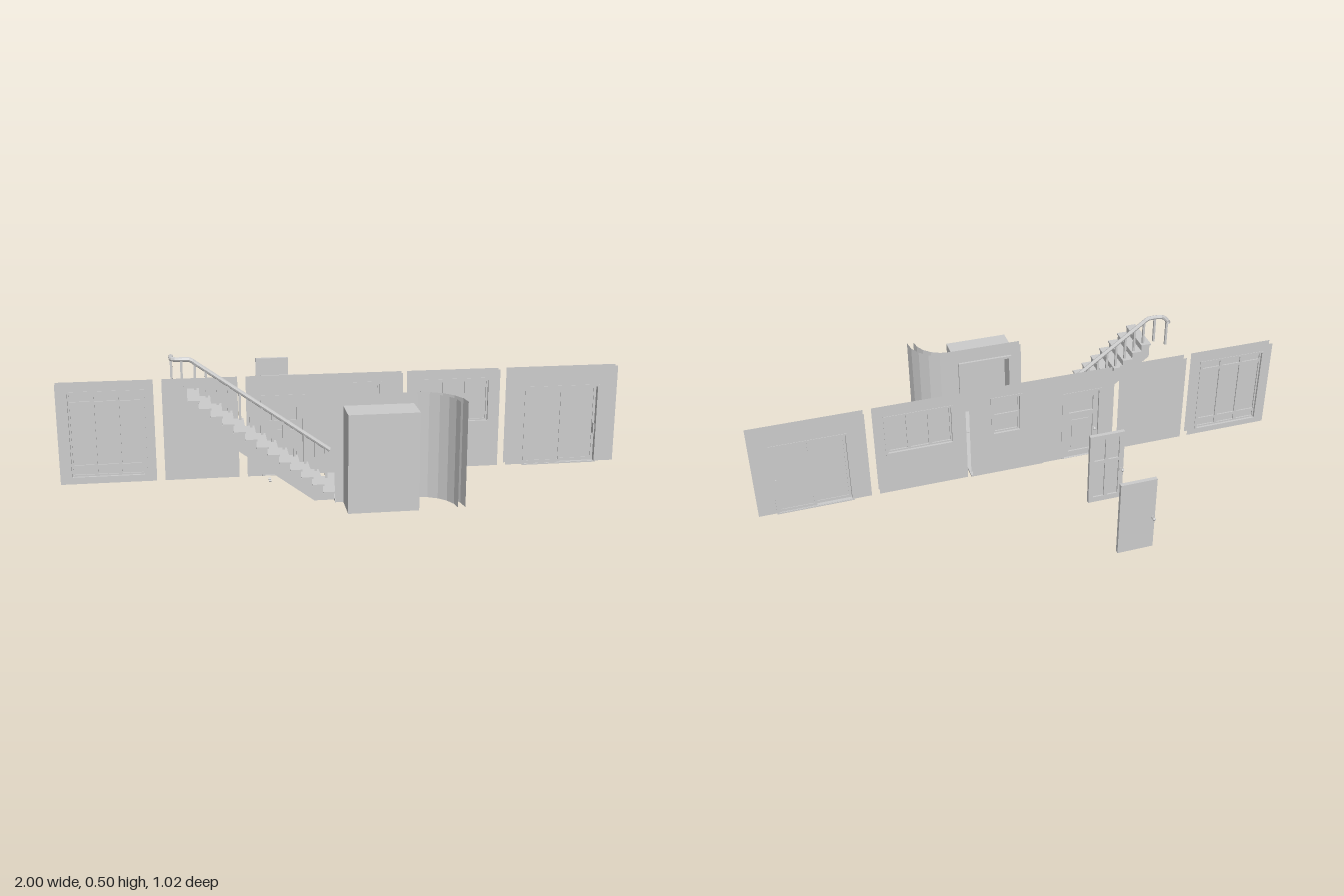
import * as THREE from 'three';

const mat = new THREE.MeshStandardMaterial({ color: 0xcccccc, flatShading: true, side: THREE.DoubleSide });
const Z_IN = 0.105, Z_OUT = 0.079, Z_MID = 0.092, Y0 = 0.025, Y1 = 0.385;

function add(parent, name, geo, x = 0, y = 0, z = 0) {
  const m = new THREE.Mesh(geo, mat);
  m.name = name;
  m.position.set(x, y, z);
  parent.add(m);
  return m;
}

// box given by its lower and upper limits on each axis
function block(parent, name, x0, x1, y0, y1, z0, z1) {
  return add(parent, name, new THREE.BoxGeometry(x1 - x0, y1 - y0, z1 - z0),
    (x0 + x1) / 2, (y0 + y1) / 2, (z0 + z1) / 2);
}

function rect(Type, x0, x1, y0, y1) {
  const s = new Type();
  s.moveTo(x0, y0).lineTo(x1, y0).lineTo(x1, y1).lineTo(x0, y1).closePath();
  return s;
}

// two thin skins with matching openings
function wall(parent, name, x0, x1, openings, zA = Z_IN, zB = Z_OUT) {
  const s = rect(THREE.Shape, x0, x1, Y0, Y1);
  for (const o of openings) s.holes.push(rect(THREE.Path, ...o));
  add(parent, name + 'InnerSkin', new THREE.ShapeGeometry(s), 0, 0, zA);
  const back = new THREE.ShapeGeometry(s).rotateY(Math.PI).scale(-1, 1, 1);
  back.index.array.reverse();
  add(parent, name + 'OuterSkin', back, 0, 0, zB);
}

// rectangular slab pierced by panes, each pane closed by a thin sheet
function framed(parent, name, [x0, x1, y0, y1], depth, z, panes, glass = true) {
  const g = new THREE.Group();
  g.name = name;
  const s = rect(THREE.Shape, x0, x1, y0, y1);
  for (const p of panes) s.holes.push(rect(THREE.Path, ...p));
  add(g, 'frame', new THREE.ExtrudeGeometry(s, { depth, bevelEnabled: false }), 0, 0, z - depth / 2);
  if (glass) for (const [a, b, c, d] of panes) block(g, 'pane', a, b, c, d, z - 0.001, z + 0.001);
  parent.add(g);
  return g;
}

// panes between lists of column and row edges, with a bar of width t
function grid(cols, rows, t) {
  const out = [];
  for (let i = 0; i + 1 < cols.length; i++)
    for (let j = 0; j + 1 < rows.length; j++)
      out.push([cols[i] + t / 2, cols[i + 1] - t / 2, rows[j] + t / 2, rows[j + 1] - t / 2]);
  return out;
}

// knobs and spindle through a door
function handle(parent, x, y, z, reach) {
  add(parent, 'handleSpindle', new THREE.CylinderGeometry(0.003, 0.003, reach * 2, 8).rotateX(Math.PI / 2), x, y, z);
  for (const s of [-1, 1]) {
    add(parent, 'handleKnob', new THREE.SphereGeometry(0.006, 10, 6), x, y, z + s * reach * 0.85);
    add(parent, 'handleRose', new THREE.CylinderGeometry(0.007, 0.007, 0.003, 10).rotateX(Math.PI / 2), x, y, z + s * 0.009);
  }
}

function buildWalls(root) {
  const g = new THREE.Group();
  g.name = 'outerWalls';
  root.add(g);
  const D = 0.03;

  // glazed triple doors
  const a = [-0.97, -0.7, 0.04, 0.357];
  wall(g, 'gardenWall', -1, -0.67, [a]);
  framed(g, 'gardenDoorCasing', a, D, Z_MID, [[-0.96, -0.71, 0.05, 0.35]], false);
  framed(g, 'gardenDoors', [-0.96, -0.71, 0.05, 0.35], 0.012, Z_MID,
    grid([-0.96, -0.877, -0.793, -0.71], [0.05, 0.085, 0.313, 0.35], 0.012));

  wall(g, 'plainWall', -0.64, -0.38, []);

  // entrance door and sash window
  const door = [-0.3, -0.145, Y0, 0.32], sash = [0.01, 0.13, 0.19, 0.357];
  wall(g, 'entranceWall', -0.35, 0.205, [[-0.3, -0.145, Y0 + 0.001, 0.32], sash]);
  framed(g, 'entranceCasing', door, D, Z_MID, [[-0.29, -0.155, Y0 + 0.001, 0.31]], false);
  framed(g, 'entranceDoor', [-0.29, -0.155, Y0, 0.31], 0.014, Z_MID,
    [[-0.27, -0.175, 0.225, 0.29], [-0.27, -0.175, 0.05, 0.205]]);
  block(g, 'entranceDoorPanel', -0.258, -0.187, 0.065, 0.19, Z_MID - 0.004, Z_MID + 0.004);
  handle(g, -0.277, 0.14, Z_MID, 0.016);
  framed(g, 'sashWindow', sash, D, Z_MID, [[0.02, 0.12, 0.2, 0.347]], false);
  framed(g, 'sashes', [0.02, 0.12, 0.2, 0.347], 0.012, Z_MID, grid([0.02, 0.12], [0.2, 0.272, 0.347], 0.012));

  // triple window
  const c = [0.27, 0.525, 0.19, 0.357];
  wall(g, 'windowWall', 0.225, 0.56, [c]);
  framed(g, 'tripleWindow', c, D, Z_MID, [[0.278, 0.517, 0.198, 0.349]], false);
  framed(g, 'casements', [0.278, 0.517, 0.198, 0.349], 0.012, Z_MID,
    grid([0.278, 0.358, 0.437, 0.517], [0.198, 0.349], 0.012));

  // sliding doors, one leaf behind the other
  const s = [0.655, 0.935, Y0 - 0.004, 0.317];
  wall(g, 'slidingDoorWall', 0.59, 1, [[0.655, 0.935, Y0 + 0.001, 0.317]]);
  framed(g, 'slidingDoorCasing', s, D, Z_MID, [[0.662, 0.928, Y0, 0.309]], false);
  framed(g, 'slidingLeafRight', [0.662, 0.8, Y0, 0.309], 0.007, Z_MID + 0.005, [[0.671, 0.791, 0.036, 0.3]]);
  framed(g, 'slidingLeafLeft', [0.79, 0.928, Y0, 0.309], 0.007, Z_MID - 0.005, [[0.799, 0.919, 0.036, 0.3]]);
  block(g, 'slidingDoorPull', 0.919, 0.924, 0.13, 0.17, 0.078, 0.106);

  // loose fittings at ground level
  for (const z of [0.083, 0.105])
    add(g, 'floorFitting', new THREE.CylinderGeometry(0.005, 0.005, 0.008, 8).rotateZ(Math.PI / 2), -0.272, 0.005, z);
}

function buildLooseDoors(root) {
  // glazed door and plain door standing apart
  const r = [-0.28, -0.15, 0.025, 0.315];
  const glazed = framed(root, 'glazedDoor', r, 0.014, -0.2,
    [...grid([-0.268, -0.215, -0.162], [0.04, 0.2, 0.303], 0.013)]);
  handle(glazed, -0.273, 0.154, -0.2, 0.022);
  const plain = new THREE.Group();
  plain.name = 'plainDoor';
  root.add(plain);
  block(plain, 'doorLeaf', ...r, -0.497, -0.483);
  handle(plain, -0.273, 0.154, -0.49, 0.022);
}

function buildHall(root) {
  const g = new THREE.Group();
  g.name = 'hall';
  root.add(g);
  block(g, 'floor', -0.075, 0.21, 0.015, 0.022, 0.088, 0.38);
  // closet wall, its casing and the closet, open towards the hall
  const o = [-0.035, 0.175, Y0 + 0.001, 0.345];
  wall(g, 'closetWall', -0.075, 0.2, [o], 0.395, 0.37);
  framed(g, 'closetCasing', [-0.035, 0.175, 0.021, 0.345], 0.035, 0.3785, [[-0.025, 0.165, 0.026, 0.335]], false);
  const closet = new THREE.BoxGeometry(0.235, 0.333, 0.113);
  closet.setIndex([...closet.index.array].slice(0, 30)); // drop the face to the hall
  add(g, 'closet', closet, 0.0675, 0.1885, 0.4535);
  // quarter-round wall, two skins
  for (const r of [0.14, 0.115])
    add(g, 'curvedWall', new THREE.CylinderGeometry(r, r, Y1 - Y0, 5, 1, true, Math.PI / 2, Math.PI / 2),
      0.2, (Y0 + Y1) / 2, 0.51);
}

function buildStairs(root) {
  const g = new THREE.Group();
  g.name = 'stairs';
  root.add(g);
  const n = 13, run = 0.475 / n, rise = (Y1 - Y0) / n, x0 = -0.075;
  // stepped body with sloping underside
  const s = new THREE.Shape();
  s.moveTo(x0 - 0.07, Y0).lineTo(x0 - 0.004, Y0);
  for (let i = 0; i < n; i++) {
    const x = x0 - 0.004 - i * run, y = Y0 + (i + 1) * rise - 0.005;
    s.lineTo(x, y).lineTo(Math.max(x - run, -0.55), y);
  }
  s.lineTo(-0.55, 0.325).closePath();
  add(g, 'stairBody', new THREE.ExtrudeGeometry(s, { depth: 0.153, bevelEnabled: false }), 0, 0, 0.226);

  const zr = 0.235, railY = x => 0.158 + (-0.08 - x) * 0.717;
  for (let i = 0; i < n; i++) {
    const x = x0 - i * run, y = Y0 + (i + 1) * rise;
    block(g, 'tread', x - run - 0.003, x, y - 0.006, y, 0.218, 0.38);
    const bx = x - 0.012;
    block(g, 'baluster', bx - 0.004, bx + 0.004, y, railY(bx), zr - 0.004, zr + 0.004);
  }
  // landing posts
  block(g, 'landingPost', -0.573, -0.565, Y1, 0.488, zr - 0.004, zr + 0.004);
  block(g, 'landingPost', -0.607, -0.599, Y1, 0.488, 0.196, 0.204);

  // handrail: slope, level run, then a turn towards the back
  const path = new THREE.CurvePath(), V = (x, y, z) => new THREE.Vector3(x, y, z);
  path.add(new THREE.LineCurve3(V(-0.075, railY(-0.075), zr), V(-0.53, railY(-0.53), zr)));
  path.add(new THREE.QuadraticBezierCurve3(V(-0.53, railY(-0.53), zr), V(-0.537, 0.489, zr), V(-0.548, 0.489, zr)));
  path.add(new THREE.LineCurve3(V(-0.548, 0.489, zr), V(-0.575, 0.489, zr)));
  path.add(new THREE.QuadraticBezierCurve3(V(-0.575, 0.489, zr), V(-0.603, 0.489, zr), V(-0.603, 0.489, 0.212)));
  path.add(new THREE.LineCurve3(V(-0.603, 0.489, 0.212), V(-0.603, 0.489, 0.184)));
  add(g, 'handrail', new THREE.TubeGeometry(path, 60, 0.008, 8));
}

export function createModel() {
  const root = new THREE.Group();
  root.name = 'houseParts';
  buildWalls(root);
  buildLooseDoors(root);
  buildHall(root);
  buildStairs(root);
  return root;
}
